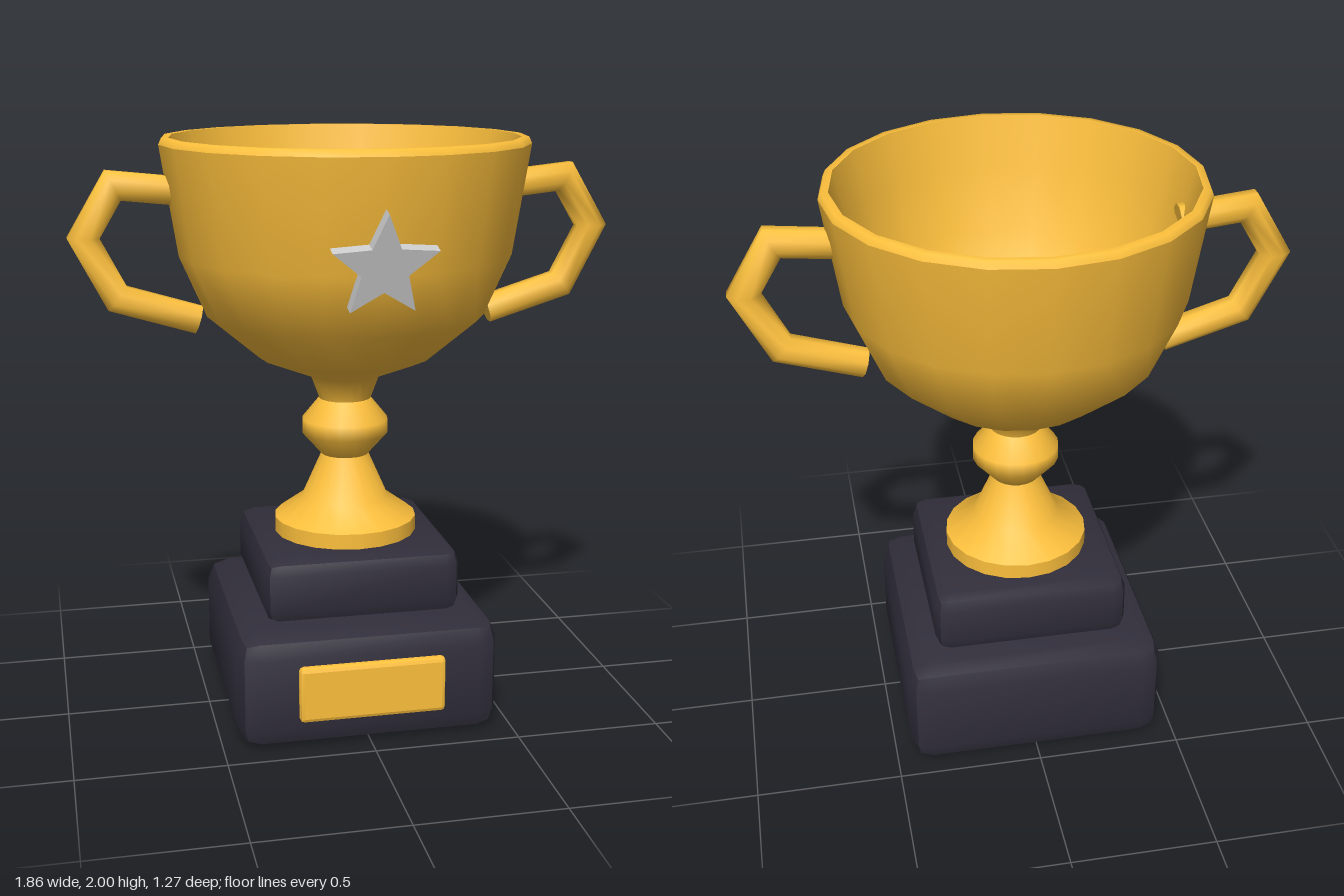
import * as THREE from 'three';
import { RoundedBoxGeometry } from 'three/addons/geometries/RoundedBoxGeometry.js';
import { toCreasedNormals } from 'three/addons/utils/BufferGeometryUtils.js';

const gold = new THREE.MeshStandardMaterial({ color: 0xfcbf3c });
const dark = new THREE.MeshStandardMaterial({ color: 0x312e3b });
const grey = new THREE.MeshStandardMaterial({ color: 0xcccccc });

function addMesh(parent, name, geometry, material) {
  const mesh = new THREE.Mesh(geometry, material);
  mesh.name = name;
  parent.add(mesh);
  return mesh;
}

// Block with one-step rounded edges, creased above the given angle, standing on yBottom
function addBlock(parent, name, [w, h, d], radius, crease, yBottom, z, material) {
  const geometry = toCreasedNormals(new RoundedBoxGeometry(w, h, d, 1, radius), crease);
  const block = addMesh(parent, name, geometry, material);
  block.position.set(0, yBottom + h / 2, z);
}

// Turned part: each profile is smooth, with a sharp edge between profiles
function addTurned(parent, name, profiles) {
  const part = new THREE.Group();
  part.name = name;
  for (const profile of profiles) {
    const points = profile.map(([r, y]) => new THREE.Vector2(r, y));
    addMesh(part, name + 'Surface', new THREE.LatheGeometry(points, 20), gold);
  }
  parent.add(part);
}

// Tube with mitred corners along a path in the xy plane, with flat ends
function mitredTube(path, radius, sides) {
  const pts = path.map(([x, y]) => new THREE.Vector2(x, y));
  const pos = [];
  const index = [];
  const last = pts.length - 1;
  pts.forEach((p, i) => {
    const before = pts[Math.max(i - 1, 0)];
    const after = pts[Math.min(i + 1, last)];
    const dirIn = (i ? p.clone().sub(before) : after.clone().sub(p)).normalize();
    const dirOut = (i < last ? after.clone().sub(p) : dirIn.clone()).normalize();
    const mid = dirIn.clone().add(dirOut).normalize();
    const reach = radius / mid.dot(dirIn);
    for (let j = 0; j < sides; j++) {
      const a = ((j + 0.5) / sides) * Math.PI * 2;
      const c = Math.cos(a) * reach;
      pos.push(p.x - mid.y * c, p.y + mid.x * c, Math.sin(a) * radius);
      if (i < last) {
        const k = i * sides + j;
        const n = i * sides + ((j + 1) % sides);
        index.push(k, n, k + sides, n, n + sides, k + sides);
      }
    }
  });
  // End caps on their own vertices, so that the rims stay sharp
  for (const ring of [0, last]) {
    const start = pos.length / 3;
    pos.push(...pos.slice(ring * sides * 3, (ring + 1) * sides * 3));
    for (let j = 1; j < sides - 1; j++) {
      if (ring) index.push(start, start + j, start + j + 1);
      else index.push(start, start + j + 1, start + j);
    }
  }
  const geometry = new THREE.BufferGeometry();
  geometry.setAttribute('position', new THREE.Float32BufferAttribute(pos, 3));
  geometry.setIndex(index);
  geometry.computeVertexNormals();
  return geometry;
}

function starGeometry(outer, inner, depth) {
  const shape = new THREE.Shape();
  for (let i = 0; i < 10; i++) {
    const r = i % 2 ? inner : outer;
    const a = Math.PI / 2 + (i * Math.PI) / 5;
    if (i) shape.lineTo(r * Math.cos(a), r * Math.sin(a));
    else shape.moveTo(r * Math.cos(a), r * Math.sin(a));
  }
  shape.closePath();
  return new THREE.ExtrudeGeometry(shape, { depth, bevelEnabled: false });
}

export function createModel() {
  const model = new THREE.Group();
  model.name = 'trophyCup';

  // Everything round sits slightly behind centre, to balance the star
  const body = new THREE.Group();
  body.name = 'body';
  body.position.z = -0.011;
  model.add(body);

  // Stepped plinth and its plate
  addBlock(body, 'lowerPlinth', [0.9, 0.4, 0.9], 0.075, 0.6, 0, 0, dark);
  addBlock(body, 'upperPlinth', [0.675, 0.225, 0.675], 0.05, 0.6, 0.4, 0, dark);
  addBlock(body, 'plate', [0.5, 0.195, 0.06], 0.015, 0.3, 0.105, 0.447, gold);

  // Foot and knot
  addTurned(body, 'foot', [
    [[0.25, 0.61], [0.25, 0.678]],
    [[0.25, 0.678], [0.15, 0.75], [0.083, 0.902]],
  ]);
  addTurned(body, 'knot', [
    [[0.083, 0.902], [0.15, 0.978], [0.15, 1.028], [0.09, 1.102]],
  ]);

  // Bowl: neck and outside, rim, and inside
  addTurned(body, 'bowl', [
    [[0.09, 1.102], [0.12, 1.183], [0.3, 1.255], [0.475, 1.403], [0.565, 1.61], [0.622, 1.978]],
    [[0.622, 1.978], [0.612, 2], [0.588, 2]],
    [[0.588, 2], [0.55, 1.84], [0.495, 1.62], [0.4, 1.43], [0.25, 1.31], [0.1, 1.26], [0, 1.255]],
  ]);

  // Handles
  const path = [[0.54, 1.825], [0.775, 1.85], [0.877, 1.68], [0.772, 1.477], [0.503, 1.395]];
  for (const [name, side] of [['leftHandle', 1], ['rightHandle', -1]]) {
    const handle = addMesh(body, name, mitredTube(path, 0.05, 8), gold);
    if (side < 0) handle.rotation.y = Math.PI;
  }

  // Star leaning with the wall of the bowl
  const star = addMesh(model, 'star', starGeometry(0.176, 0.078, 0.045), grey);
  star.position.set(0, 1.653, 0.55);
  star.rotation.x = 0.255;

  return model;
}
